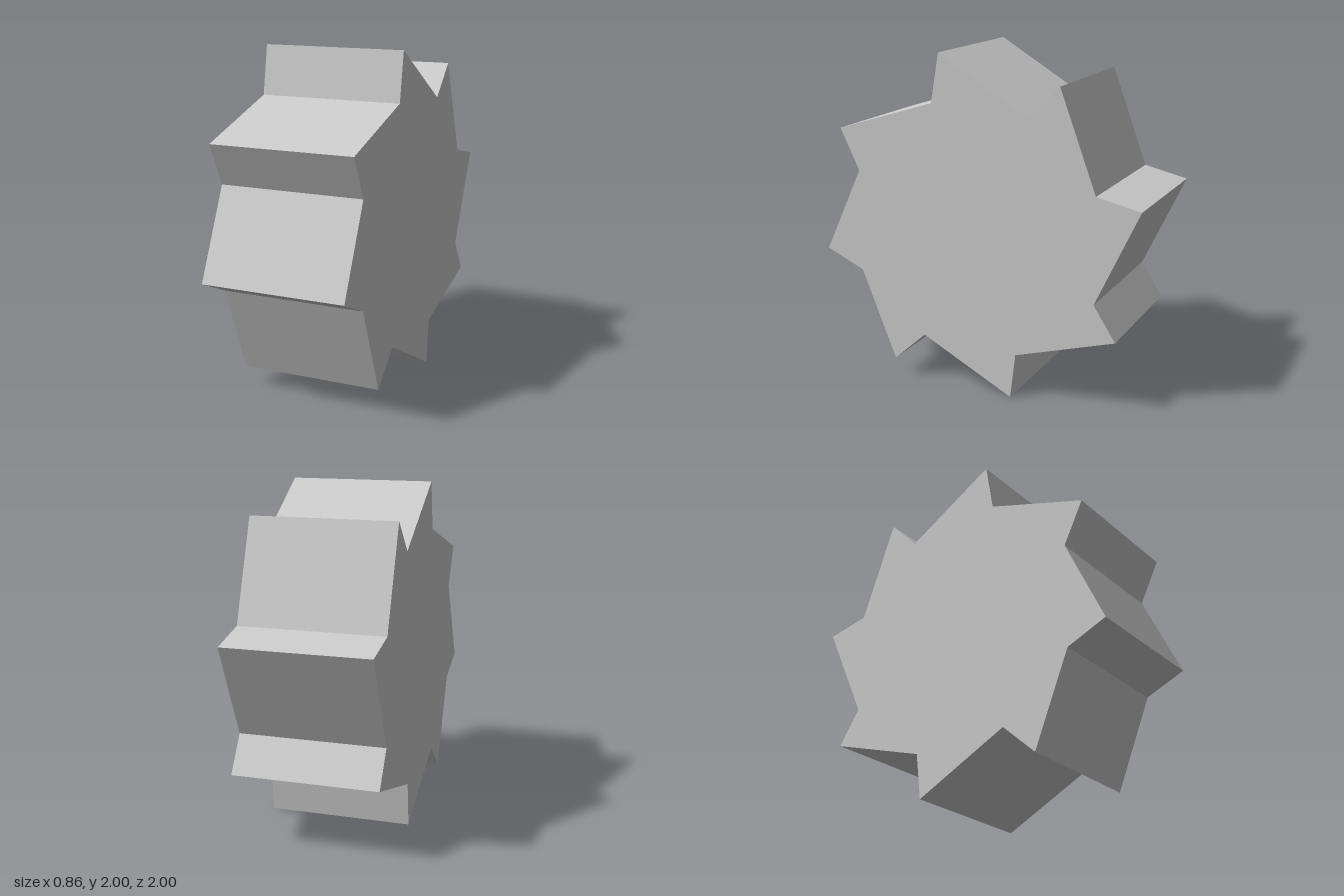
import * as THREE from 'three';

export function createModel() {
  const group = new THREE.Group();
  group.name = 'sawToothWheel';
  const width = 0.86;

  // Eight slanted teeth: tip then root, as [z, y], going round the wheel
  const profile = [
    [0.215, 2], [0.265, 1.71],
    [0.88, 1.52], [0.76, 1.272],
    [1, 0.76], [0.76, 0.652],
    [0.543, 0.113], [0.337, 0.297],
    [-0.23, 0], [-0.263, 0.27],
    [-0.87, 0.448], [-0.738, 0.652],
    [-1, 1.213], [-0.738, 1.272],
    [-0.522, 1.855], [-0.337, 1.667],
  ];
  const shape = new THREE.Shape(profile.map(([z, y]) => new THREE.Vector2(z, y)));

  // Extrude across the width, then turn the profile into the z-y plane
  const geometry = new THREE.ExtrudeGeometry(shape, { depth: width, bevelEnabled: false });
  geometry.translate(0, 0, -width / 2);
  geometry.rotateY(-Math.PI / 2);

  const wheel = new THREE.Mesh(
    geometry,
    new THREE.MeshStandardMaterial({ color: 0xcccccc, flatShading: true })
  );
  wheel.name = 'toothedWheel';
  group.add(wheel);
  return group;
}
